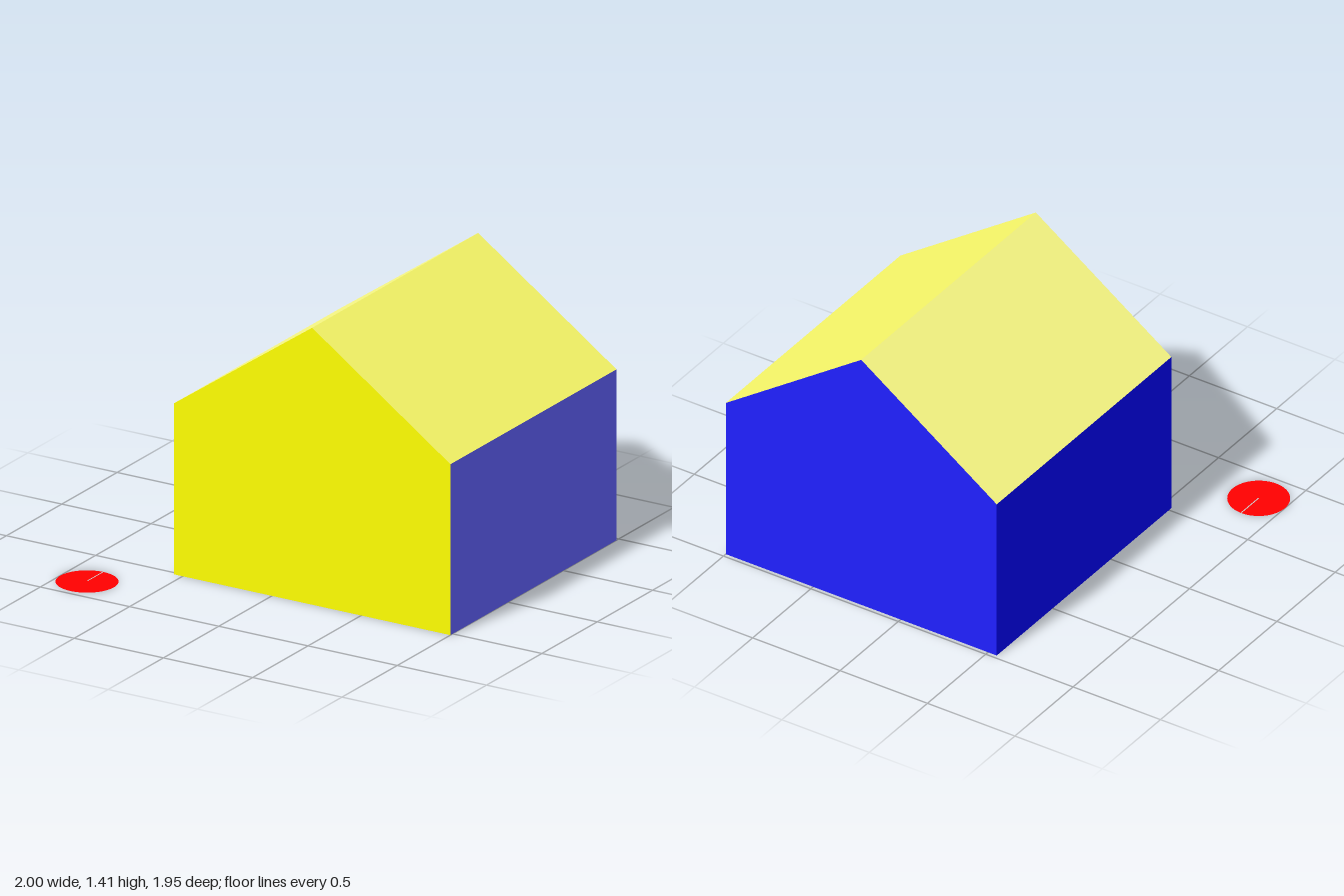
import * as THREE from 'three';

const LEFT = 1, RIGHT = -0.55, RIDGE = (LEFT + RIGHT) / 2;
const FRONT = 0.52, BACK = -0.98;
const EAVES = 0.87, TOP = 1.41;

function material(color) {
  return new THREE.MeshStandardMaterial({ color, side: THREE.DoubleSide });
}

// Flat convex panel from its corners, counter-clockwise seen from outside
function panel(name, color, corners) {
  const positions = [];
  for (let i = 1; i < corners.length - 1; i++) {
    positions.push(...corners[0], ...corners[i], ...corners[i + 1]);
  }
  const geometry = new THREE.BufferGeometry();
  geometry.setAttribute('position', new THREE.Float32BufferAttribute(positions, 3));
  geometry.computeVertexNormals();
  const mesh = new THREE.Mesh(geometry, material(color));
  mesh.name = name;
  return mesh;
}

export function createModel() {
  const model = new THREE.Group();
  model.name = 'houseWithDisc';

  const house = new THREE.Group();
  house.name = 'house';
  model.add(house);

  // Gable walls
  const gable = (z) => [
    [RIGHT, 0, z], [LEFT, 0, z], [LEFT, EAVES, z], [RIDGE, TOP, z], [RIGHT, EAVES, z],
  ];
  house.add(panel('frontWall', 0xffff00, gable(FRONT)));
  house.add(panel('backWall', 0x2020ff, gable(BACK).reverse()));

  // Side walls and roof slopes, open underneath
  const strip = (x0, y0, x1, y1) => [
    [x0, y0, FRONT], [x0, y0, BACK], [x1, y1, BACK], [x1, y1, FRONT],
  ];
  house.add(panel('leftWall', 0x6262ff, strip(LEFT, 0, LEFT, EAVES)));
  house.add(panel('leftRoof', 0xffff6c, strip(LEFT, EAVES, RIDGE, TOP)));
  house.add(panel('rightRoof', 0xffff88, strip(RIDGE, TOP, RIGHT, EAVES)));
  house.add(panel('rightWall', 0x0000ff, strip(RIGHT, EAVES, RIGHT, 0)));

  // Flat disc on the ground with a thin radial mark
  const disc = new THREE.Group();
  disc.name = 'disc';
  disc.position.set(-0.85, 0, 0.82);
  model.add(disc);

  const face = new THREE.Mesh(new THREE.CircleGeometry(0.15, 64).rotateX(-Math.PI / 2), material(0xff0000));
  face.name = 'discFace';
  disc.add(face);

  const mark = new THREE.Mesh(new THREE.PlaneGeometry(0.006, 0.15).rotateX(-Math.PI / 2), material(0xffffff));
  mark.name = 'discMark';
  mark.position.set(0, 0.002, -0.075);
  disc.add(mark);

  return model;
}
